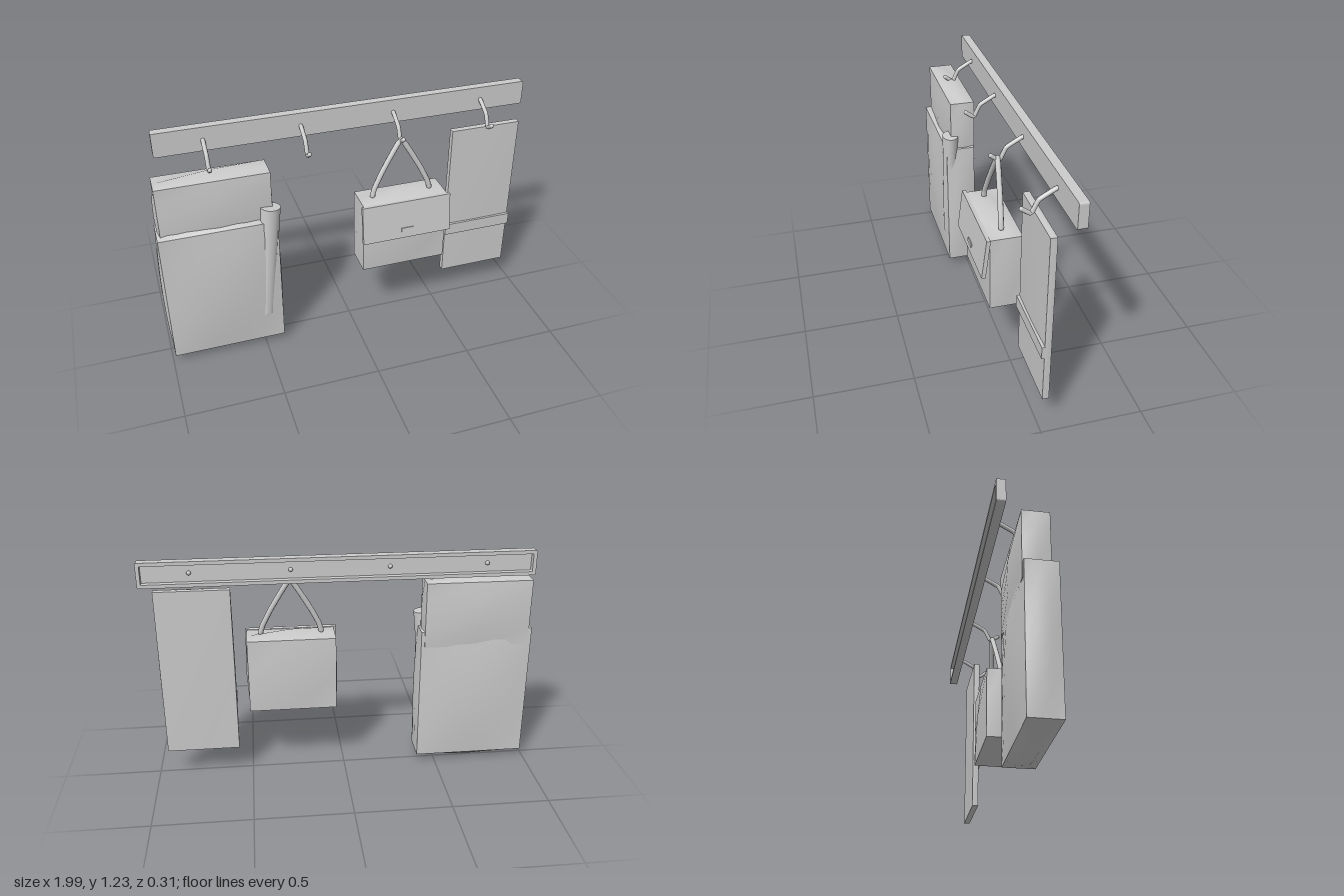
import * as THREE from 'three';

export function createModel() {
  const root = new THREE.Group();
  root.name = 'coatRack';
  const grey = new THREE.MeshStandardMaterial({ color: 0xcccccc });
  grey.name = 'plain grey';

  const add = (name, geometry, x = 0, y = 0, z = 0, parent = root) => {
    const mesh = new THREE.Mesh(geometry, grey);
    mesh.name = name;
    mesh.position.set(x, y, z);
    parent.add(mesh);
    return mesh;
  };
  const V = (x, y, z) => new THREE.Vector3(x, y, z);

  // Box with straight edges whose faces swell outwards
  function pillow([w, h, d], [bx, by, bz], sx, sy, sz) {
    const g = new THREE.BoxGeometry(w, h, d, sx, sy, sz);
    const p = g.attributes.position;
    for (let i = 0; i < p.count; i++) {
      const x = p.getX(i), y = p.getY(i), z = p.getZ(i);
      const fx = 1 - (2 * x / w) ** 2, fy = 1 - (2 * y / h) ** 2, fz = 1 - (2 * z / d) ** 2;
      if (Math.abs(fx) < 1e-4) p.setX(i, x + Math.sign(x) * bx * fy * fz);
      if (Math.abs(fy) < 1e-4) p.setY(i, y + Math.sign(y) * by * fx * fz);
      if (Math.abs(fz) < 1e-4) p.setZ(i, z + Math.sign(z) * bz * fx * fy);
    }
    g.computeVertexNormals();
    return g;
  }

  // Round rod through straight stretches, with rounded ends
  function rod(name, points, radius, parent) {
    const curve = new THREE.CatmullRomCurve3(points, false, 'catmullrom', 0.15);
    add(name, new THREE.TubeGeometry(curve, points.length * 4, radius, 8), 0, 0, 0, parent);
    for (const e of [points[0], points[points.length - 1]])
      add(name + 'End', new THREE.SphereGeometry(radius, 8, 6), e.x, e.y, e.z, parent);
  }

  // Rounded rectangle outline centred on the origin
  function roundedRect(Type, w, h, r) {
    const s = new Type(), x = w / 2, y = h / 2;
    s.moveTo(-x + r, -y);
    s.lineTo(x - r, -y); s.quadraticCurveTo(x, -y, x, -y + r);
    s.lineTo(x, y - r); s.quadraticCurveTo(x, y, x - r, y);
    s.lineTo(-x + r, y); s.quadraticCurveTo(-x, y, -x, y - r);
    s.lineTo(-x, -y + r); s.quadraticCurveTo(-x, -y, -x + r, -y);
    return s;
  }

  // Wall rail: front board with a rim around a hollow back
  const rail = new THREE.Group();
  rail.name = 'rail';
  rail.position.set(0.03, 1.162, 0);
  root.add(rail);
  const solid = depth => ({ depth, bevelEnabled: false, curveSegments: 3 });
  add('railBoard', new THREE.ExtrudeGeometry(roundedRect(THREE.Shape, 1.93, 0.126, 0.01), solid(0.015)), 0, 0, -0.125, rail);
  const rim = roundedRect(THREE.Shape, 1.93, 0.126, 0.01);
  rim.holes.push(roundedRect(THREE.Path, 1.894, 0.09, 0.004));
  add('railRim', new THREE.ExtrudeGeometry(rim, solid(0.03)), 0, 0, -0.155, rail);

  // Four bent hooks
  [-0.695, -0.213, 0.27, 0.752].forEach(x => {
    const hook = new THREE.Group();
    hook.name = 'hook';
    hook.position.x = x;
    root.add(hook);
    rod('hookRod', [V(0, 1.162, -0.13), V(0, 1.153, -0.1), V(0, 1.112, -0.03), V(0, 1.052, 0),
      V(0, 1.056, 0.015), V(0, 1.078, 0.045)], 0.011, hook);
  });

  // Hanging coat: upper body, wider lower body and one loose sleeve
  add('coatUpper', pillow([0.55, 0.35, 0.13], [0.014, 0.03, 0.018], 2, 4, 2), -0.693, 0.86, 0.015);
  add('coatLower', pillow([0.585, 0.73, 0.155], [0.016, 0.045, 0.022], 6, 6, 3), -0.693, 0.405, 0.0325);
  const top = V(-0.428, 0.845, 0.083), bottom = V(-0.485, 0.203, 0.086);
  const sleeve = add('coatSleeve', new THREE.CylinderGeometry(0.05, 0.043, top.distanceTo(bottom), 16));
  sleeve.position.addVectors(top, bottom).multiplyScalar(0.5);
  sleeve.quaternion.setFromUnitVectors(V(0, 1, 0), top.clone().sub(bottom).normalize());
  sleeve.scale.z = 0.85;

  // Bag: body, tilted flap, clasp and strap over the third hook
  add('bagBody', pillow([0.455, 0.395, 0.16], [0.012, 0.03, 0.018], 2, 2, 2), 0.272, 0.5625, 0.03);
  const flap = new THREE.Group();
  flap.name = 'bagFlap';
  flap.position.set(0.27, 0.662, 0.131);
  flap.rotation.x = -0.122;
  root.add(flap);
  add('flapPanel', new THREE.BoxGeometry(0.478, 0.207, 0.02), 0, 0, 0, flap);
  add('flapClasp', new THREE.BoxGeometry(0.065, 0.02, 0.008), 0, -0.055, 0.011, flap);
  rod('bagStrap', [V(0.115, 0.775, 0.036), V(0.125, 0.815, 0.034), V(0.17, 0.905, 0.026), V(0.27, 1.064, 0.012),
    V(0.37, 0.905, 0.026), V(0.415, 0.815, 0.034), V(0.427, 0.775, 0.036)], 0.014);

  // Hanging towel with a raised band across the front
  add('towel', pillow([0.376, 0.892, 0.032], [0.003, 0.003, 0.004], 4, 4, 2), 0.755, 0.597, -0.035);
  add('towelBand', new THREE.BoxGeometry(0.384, 0.066, 0.016), 0.755, 0.437, -0.012);

  return root;
}
